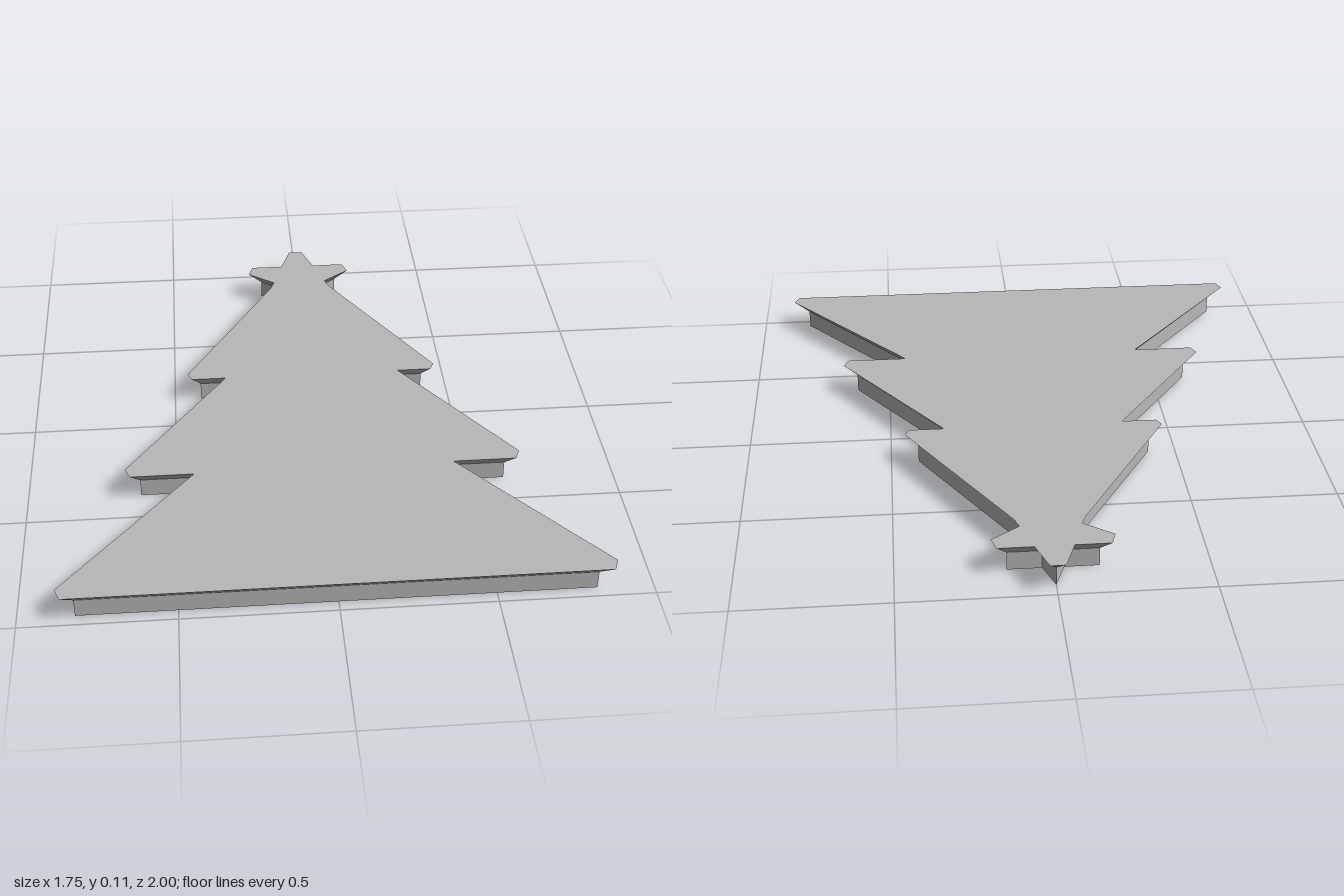
import * as THREE from 'three';

// Right half of the outline, back to front: [top x, top z, base x, base z].
// Pointed tips are blunted on top, so two top points share one base point.
const HALF = [
  [0.025, -1, 0, -0.947], // star
  [0.063, -0.892, 0.035, -0.852],
  [0.18, -0.892, 0.147, -0.852],
  [0.196, -0.842, 0.147, -0.852],
  [0.1, -0.772, 0.052, -0.785],
  [0.116, -0.73, 0.08, -0.714], // upper tier
  [0.45, -0.162, 0.405, -0.163],
  [0.434, -0.13, 0.405, -0.163],
  [0.314, -0.13, 0.24, -0.163], // middle tier
  [0.669, 0.38, 0.62, 0.385],
  [0.652, 0.42, 0.62, 0.385],
  [0.438, 0.42, 0.36, 0.385], // lower tier
  [0.875, 0.957, 0.82, 0.96],
  [0.858, 1, 0.82, 0.96],
];
const TOP_Y = 0.108;
const RIM_Y = 0.065;

const mirrored = HALF.map(([a, b, c, d]) => [-a, b, -c, d]).reverse();
const OUTLINE = [...HALF, ...mirrored];
const topRing = (y) => OUTLINE.map((p) => new THREE.Vector3(p[0], y, p[1]));
const baseRing = (y) => OUTLINE.map((p) => new THREE.Vector3(p[2], y, p[3]));

// Triangles joining two matching rings, skipping collapsed ones
function wall(low, high) {
  const tris = [];
  low.forEach((a0, i) => {
    const j = (i + 1) % low.length;
    const b0 = low[j], a1 = high[i], b1 = high[j];
    for (const t of [[b0, a0, a1], [b0, a1, b1]]) {
      if (new THREE.Triangle(...t).getArea() > 1e-8) tris.push(t);
    }
  });
  return tris;
}

// Flat face filling a ring, facing up (+1) or down (-1)
function cap(ring, facing) {
  const pts = ring.filter((p, i) => p.distanceTo(ring[(i + 1) % ring.length]) > 1e-6);
  const flat = pts.map((p) => new THREE.Vector2(p.x, p.z));
  return THREE.ShapeUtils.triangulateShape(flat, []).map((f) => {
    const [a, b, c] = f.map((k) => pts[k]);
    const n = new THREE.Triangle(a, b, c).getNormal(new THREE.Vector3());
    return n.y * facing > 0 ? [a, b, c] : [a, c, b];
  });
}

function part(name, tris, material) {
  const geometry = new THREE.BufferGeometry().setFromPoints(tris.flat());
  geometry.computeVertexNormals();
  const mesh = new THREE.Mesh(geometry, material);
  mesh.name = name;
  return mesh;
}

export function createModel() {
  const grey = new THREE.MeshStandardMaterial({ color: 0xb8b8b8 });
  grey.name = 'plain grey';

  const tree = new THREE.Group();
  tree.name = 'starToppedTreePlaque';
  const foot = baseRing(0), neck = baseRing(RIM_Y), brim = topRing(TOP_Y);
  tree.add(
    part('uprightBase', [...cap(foot, -1), ...wall(foot, neck)], grey),
    part('flaredRim', wall(neck, brim), grey),
    part('topFace', cap(brim, 1), grey),
  );
  return tree;
}
